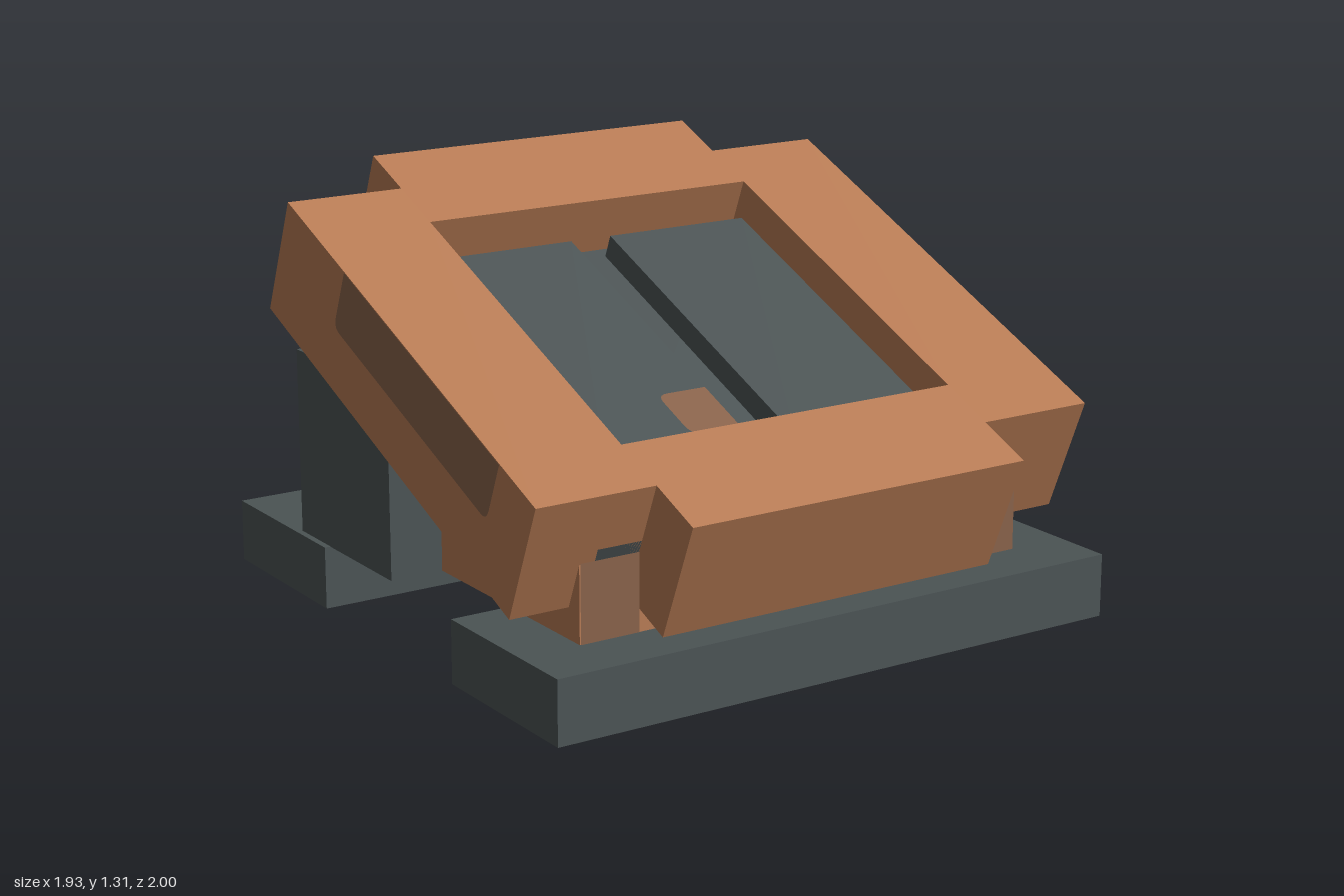
import * as THREE from 'three';

const U = 0.192; // building unit
const copper = new THREE.MeshStandardMaterial({ color: 0xb67a54 });
copper.name = 'copper';
const slate = new THREE.MeshStandardMaterial({ color: 0x4b5354 });
slate.name = 'slate';
const patina = new THREE.MeshStandardMaterial({ color: 0x88624a });
patina.name = 'patina';

// Box given by its limits on each axis
function box(parent, name, mat, [x0, x1], [y0, y1], [z0, z1]) {
  const m = new THREE.Mesh(new THREE.BoxGeometry(x1 - x0, y1 - y0, z1 - z0), mat);
  m.position.set((x0 + x1) / 2, (y0 + y1) / 2, (z0 + z1) / 2);
  m.name = name;
  parent.add(m);
}

// Thin painted plate; corners = rounding flags: lower left, lower right, upper right, upper left
function patch(parent, name, mat, w, h, corners, pos, rot) {
  const pts = [[-w / 2, -h / 2], [w / 2, -h / 2], [w / 2, h / 2], [-w / 2, h / 2]];
  const s = new THREE.Shape();
  pts.forEach(([x, y], i) => {
    const r = corners[i] ? 0.035 : 0;
    const [px, py] = pts[(i + 3) % 4], [nx, ny] = pts[(i + 1) % 4];
    const ax = x + Math.sign(px - x) * r, ay = y + Math.sign(py - y) * r;
    if (i === 0) s.moveTo(ax, ay); else s.lineTo(ax, ay);
    if (r) s.quadraticCurveTo(x, y, x + Math.sign(nx - x) * r, y + Math.sign(ny - y) * r);
  });
  const m = new THREE.Mesh(new THREE.ShapeGeometry(s, 5), mat);
  m.position.set(...pos);
  m.rotation.set(...rot);
  m.name = name;
  parent.add(m);
}

export function createModel() {
  const model = new THREE.Group();
  model.name = 'tiltedConsole';
  const E = 0.003;

  // Feet, body and side brackets
  box(model, 'frontFoot', slate, [-0.96, 0.96], [0, 0.195], [0.35, 0.924]);
  box(model, 'backFoot', slate, [-0.96, 0.96], [0, 0.195], [-1, -0.424]);
  box(model, 'body', copper, [-0.77, 0.77], [0.195, 0.58], [-0.804, 0.732]);
  for (const s of [-1, 1]) {
    box(model, s > 0 ? 'leftBracket' : 'rightBracket', slate,
      s > 0 ? [0.75, 0.94] : [-0.94, -0.75], [0.194, 0.773], [-0.612, -0.038]);
    patch(model, 'bodyCornerPatch', patina, U, 0.235, [0, 0, 0, 0], [s * 0.672, 0.313, 0.732 + E], [0, 0, 0]);
    // Lower rear stain on the body sides
    patch(model, 'bodySidePatch', patina, U, U, [0, 0, 0, 0],
      [s * (0.77 + E), 0.292, -0.708], [0, s * Math.PI / 2, 0]);
  }
  patch(model, 'bodyFrontPatch', slate, 0.575, U, [0, 0, 1, 1], [-0.097, 0.291, 0.732 + E], [0, 0, 0]);
  patch(model, 'bodyUndersidePatch', patina, 0.384, U, [1, 1, 0, 0], [0, 0.195 - E, 0.28], [Math.PI / 2, 0, 0]);

  // Tilted head: everything below is in its own frame
  const head = new THREE.Group();
  head.name = 'tiltedHead';
  head.position.set(0, 0.76, 0.039);
  head.rotation.x = Math.PI / 8;
  model.add(head);

  // Frame: a notched square with a square opening
  const outline = [[3, 5], [3, 4], [5, 4], [5, -4], [3, -4], [3, -5],
    [-3, -5], [-3, -4], [-5, -4], [-5, 4], [-3, 4], [-3, 5]];
  const shape = new THREE.Shape(outline.map(([x, y]) => new THREE.Vector2(x * U, y * U)));
  shape.holes.push(new THREE.Path([[-3, -3], [3, -3], [3, 3], [-3, 3]]
    .map(([x, y]) => new THREE.Vector2(x * U, y * U))));
  const frameGeo = new THREE.ExtrudeGeometry(shape, { depth: 2 * U, bevelEnabled: false });
  frameGeo.rotateX(-Math.PI / 2).translate(0, -U, 0);
  const frame = new THREE.Mesh(frameGeo, copper);
  frame.name = 'frame';
  head.add(frame);

  // Core slab and the two raised panels
  box(head, 'coreSlab', slate, [-0.72, 0.72], [-2 * U, 0], [-4 * U, 4 * U]);
  box(head, 'leftPanel', slate, [0.072, 0.575], [-0.01, 0.077], [-0.5376, 0.5376]);
  box(head, 'rightPanel', slate, [-0.575, -0.072], [-0.01, 0.077], [-0.5376, 0.5376]);
  patch(head, 'panelPatch', patina, 0.168, U, [1, 0, 0, 1], [-0.156, 0.077 + E, 0.36], [-Math.PI / 2, 0, 0]);

  // Stains on the frame sides
  for (const s of [-1, 1]) {
    patch(head, 'framePatch', patina, 0.95, U, [1, 1, 0, 0],
      [s * (5 * U + E), U / 2, 0.094], [0, s * Math.PI / 2, 0]);
  }
  // Stains on the rear faces and the inner front wall
  const back = [0, Math.PI, 0], zb = -5 * U - E;
  patch(head, 'rearFullPatch', patina, U, 2 * U, [0, 0, 0, 0], [2.5 * U, 0, zb], back);
  patch(head, 'rearSlatePatch', slate, 2 * U, U, [1, 1, 0, 0], [0, U / 2, zb], back);
  patch(head, 'rearLowPatch', patina, U, U, [0, 0, 0, 1], [-2.5 * U, -U / 2, zb], back);
  patch(head, 'wingRearPatch', patina, U, U, [1, 0, 0, 0], [3.5 * U, U / 2, -4 * U - E], back);
  patch(head, 'innerWallPatch', patina, U, U, [0, 0, 0, 0], [2.5 * U, U / 2, 3 * U - E], back);
  return model;
}
